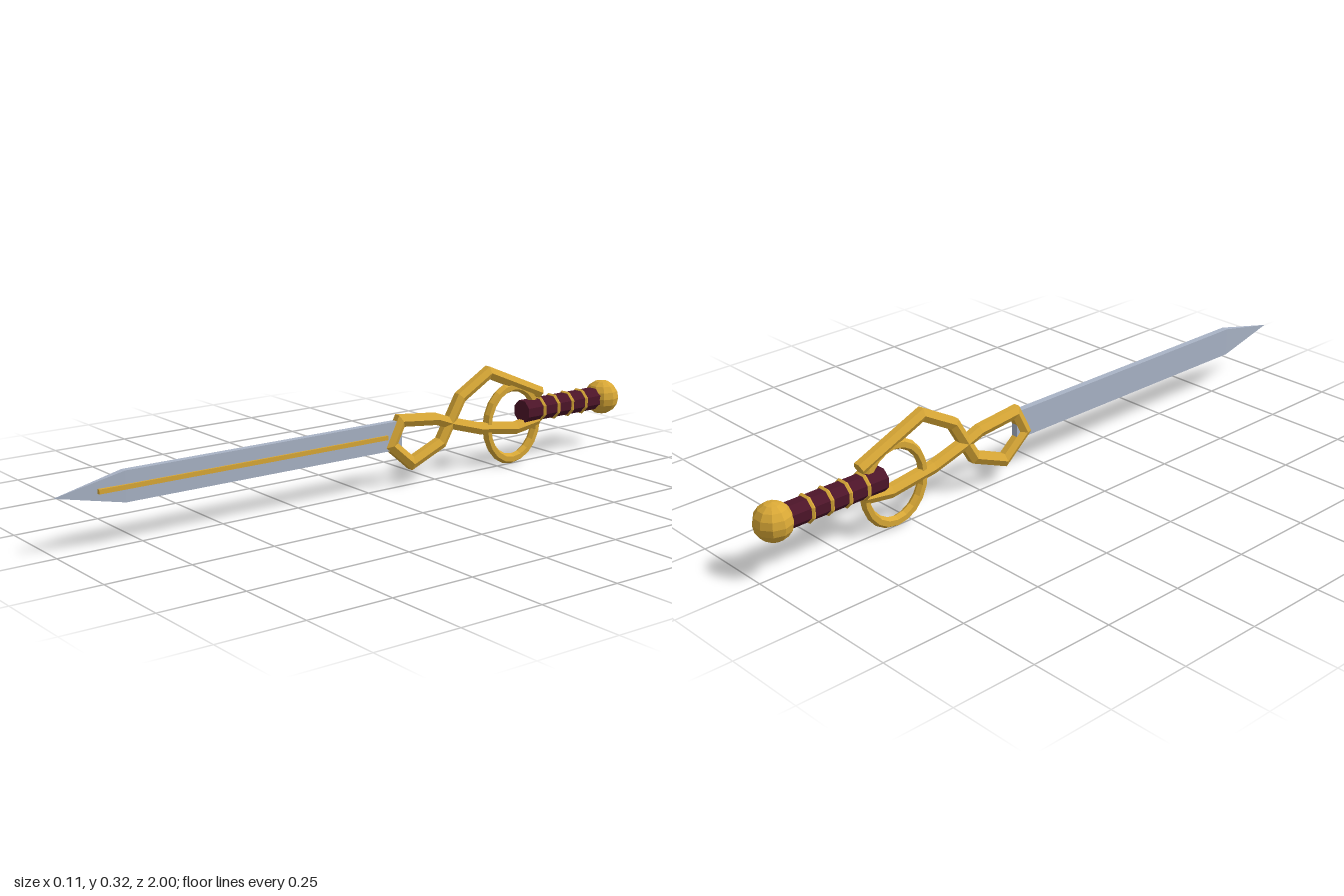
import * as THREE from 'three';

const AXIS_Y = 0.163; // height of the sword's long axis

const paint = (color) => new THREE.MeshStandardMaterial({ color, flatShading: true });

// Joins equal-sized loops of points into a closed, flat-shaded solid
function loft(loops) {
  const pos = [];
  const tri = (...pts) => pts.forEach((p) => pos.push(p.x, p.y, p.z));
  const n = loops[0].length;
  for (let s = 0; s < loops.length - 1; s++) {
    const a = loops[s], b = loops[s + 1];
    for (let i = 0; i < n; i++) {
      const j = (i + 1) % n;
      tri(a[i], a[j], b[j]);
      tri(a[i], b[j], b[i]);
    }
  }
  const first = loops[0], last = loops[loops.length - 1];
  for (let i = 1; i < n - 1; i++) {
    tri(first[0], first[i + 1], first[i]);
    tri(last[0], last[i], last[i + 1]);
  }
  const geo = new THREE.BufferGeometry();
  geo.setAttribute('position', new THREE.Float32BufferAttribute(pos, 3));
  geo.computeVertexNormals();
  return geo;
}

// Six-sided bar with mitred corners along a path of [z, y] points
function mitredBar(path, radius) {
  const pts = path.map(([z, y]) => new THREE.Vector3(0, y, z));
  const loops = pts.map((p, i) => {
    const before = p.clone().sub(pts[Math.max(i - 1, 0)]).normalize();
    const after = pts[Math.min(i + 1, pts.length - 1)].clone().sub(p).normalize();
    const t = before.clone().add(after).normalize();
    const stretch = 1 / Math.max(t.dot(i ? before : after), 0.6);
    const n = new THREE.Vector3(0, t.z, -t.y);
    return Array.from({ length: 6 }, (_, k) => {
      const a = (k * Math.PI) / 3;
      return p.clone().addScaledVector(n, Math.sin(a) * radius * stretch)
        .add(new THREE.Vector3(Math.cos(a) * radius, 0, 0));
    });
  });
  return loft(loops);
}

export function createModel() {
  const sword = new THREE.Group();
  const gold = paint(0xd9a836);
  const steel = paint(0xa9b3c6);
  const leather = paint(0x4d1529);

  const add = (name, geometry, material, y = AXIS_Y, z = 0) => {
    const mesh = new THREE.Mesh(geometry, material);
    mesh.name = name;
    mesh.position.set(0, y, z);
    sword.add(mesh);
    return mesh;
  };

  // Blade: rectangular section running to a pyramid point
  const section = (z, w, h) => [[1, -1], [1, 1], [-1, 1], [-1, -1]]
    .map(([x, y]) => new THREE.Vector3(x * w, y * h, z));
  add('blade', loft([
    section(-0.115, 0.01, 0.043),
    section(0.8, 0.01, 0.043),
    section(1, 0.0005, 0.0005),
  ]), steel);

  // Gold inlay on the left face of the blade
  const inlay = add('bladeInlay', new THREE.BoxGeometry(0.01, 0.013, 0.94), gold, AXIS_Y, 0.41);
  inlay.position.x = 0.011;

  // Guard: one bar folded at the blade, its two strands crossing
  add('guard', mitredBar([
    [-0.66, 0.128], [-0.57, 0.115], [-0.42, 0.136], [-0.31, 0.168], [-0.25, 0.19],
    [-0.115, 0.204], [-0.08, 0.135], [-0.158, 0.069], [-0.27, 0.115],
    [-0.345, 0.243], [-0.455, 0.305], [-0.67, 0.215],
  ], 0.02), gold, 0);

  // Finger ring, slightly taller than long
  const ring = add('fingerRing', new THREE.TorusGeometry(0.107, 0.015, 6, 20), gold, 0.134, -0.556);
  ring.rotation.y = Math.PI / 2;
  ring.scale.set(0.94, 1.07, 1);

  // Grip and its wire bands
  const gripGeo = new THREE.CylinderGeometry(0.036, 0.036, 0.32, 8);
  gripGeo.rotateY(Math.PI / 8);
  const grip = add('grip', gripGeo, leather, AXIS_Y, -0.758);
  grip.rotation.x = Math.PI / 2;
  for (let i = 0; i < 4; i++) {
    const band = add('gripBand', new THREE.TorusGeometry(0.036, 0.006, 5, 8), gold, AXIS_Y, -0.664 - i * 0.06);
    band.rotation.z = Math.PI / 8;
  }

  // Pommel
  add('pommel', new THREE.SphereGeometry(0.055, 10, 8), gold, AXIS_Y, -0.945);

  return sword;
}
